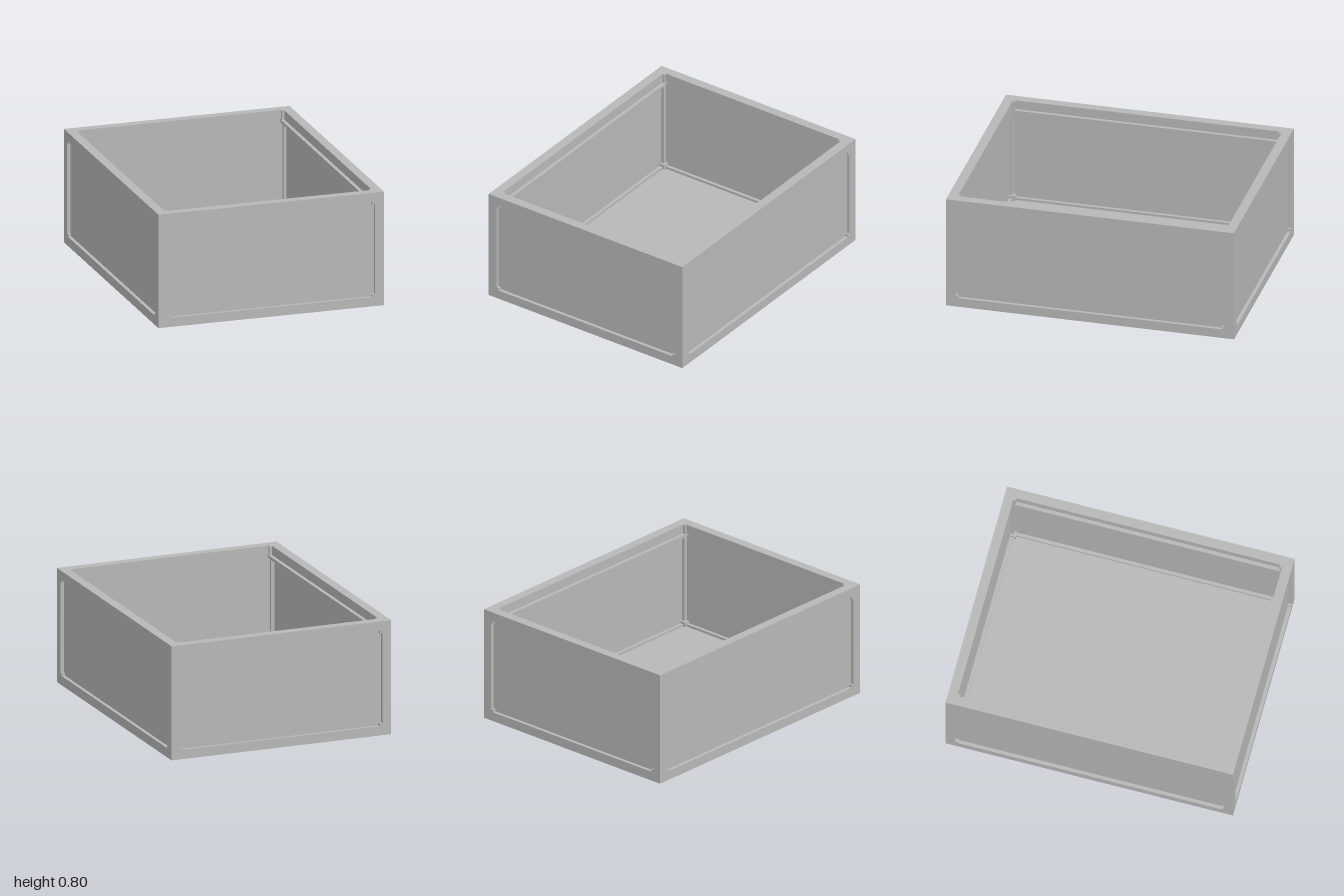
import * as THREE from 'three';

const W = 1.6, H = 0.8, D = 2;      // outer size
const BAR = 0.065, CUBE = 0.083;    // frame bar and corner block sizes
const RECESS = 0.024, THICK = 0.018; // panel inset and thickness

export function createModel() {
  const model = new THREE.Group();
  const grey = new THREE.MeshStandardMaterial({ color: 0xb8b8b8 });
  grey.name = 'plain grey';

  const box = (name, size, pos) => {
    const mesh = new THREE.Mesh(new THREE.BoxGeometry(...size), grey);
    mesh.name = name;
    mesh.position.set(...pos);
    model.add(mesh);
  };

  const cx = (W - CUBE) / 2, cz = (D - CUBE) / 2;
  const bx = (W - BAR) / 2, bz = (D - BAR) / 2;

  for (const sx of [-1, 1]) {
    for (const sz of [-1, 1]) {
      // corner blocks and upright posts
      for (const y of [CUBE / 2, H - CUBE / 2]) {
        box('cornerBlock', [CUBE, CUBE, CUBE], [sx * cx, y, sz * cz]);
      }
      box('cornerPost', [BAR, H - 2 * CUBE, BAR], [sx * bx, H / 2, sz * bz]);
    }
  }

  // top and bottom frame bars
  for (const y of [BAR / 2, H - BAR / 2]) {
    for (const s of [-1, 1]) {
      box('crossBar', [W - 2 * CUBE, BAR, BAR], [0, y, s * bz]);
      box('sideBar', [BAR, BAR, D - 2 * CUBE], [s * bx, y, 0]);
    }
  }

  // inset wall panels, their edges buried in the frame
  const inset = RECESS + THICK / 2;
  const px = W / 2 - inset, pz = D / 2 - inset, wallH = H - 2 * inset;
  for (const s of [-1, 1]) {
    box('endPanel', [2 * px, wallH, THICK], [0, H / 2, s * pz]);
    box('sidePanel', [THICK, wallH, 2 * pz], [s * px, H / 2, 0]);
    // narrow inner rail below the top bar
    box('innerRail', [0.025, 0.02, 1.85], [s * 0.7225, 0.725, 0]);
  }

  // inset floor
  box('floorPanel', [2 * px, THICK, 2 * pz], [0, 0.03 + THICK / 2, 0]);

  return model;
}
